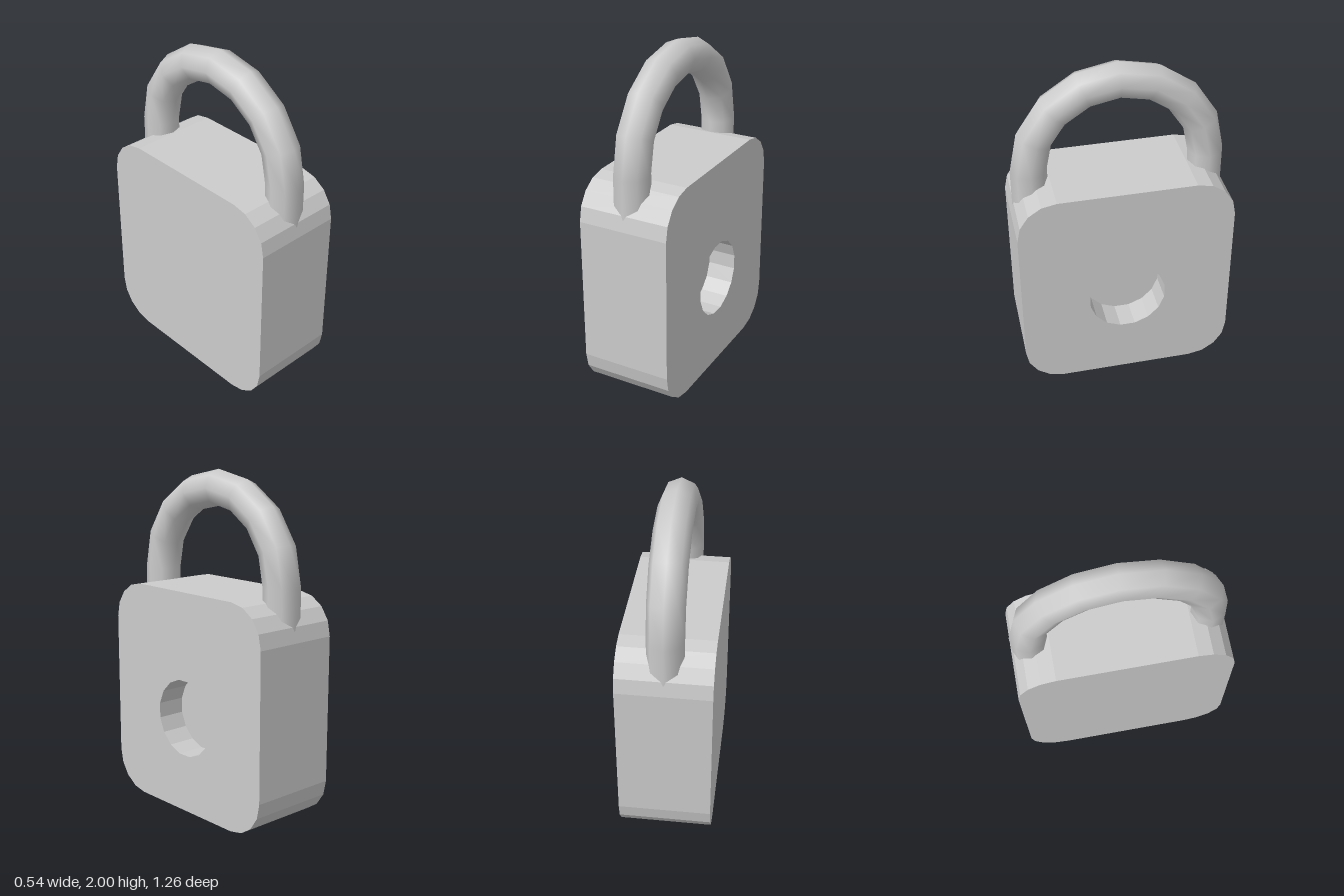
import * as THREE from 'three';
import { mergeGeometries } from 'three/addons/utils/BufferGeometryUtils.js';

const WIDTH = 1.26, HEIGHT = 1.32, HALF_DEPTH = 0.27, CORNER = 0.23;
const HOLE_Y = 0.573, HOLE_RADIUS = 0.23, HOLE_DEPTH = 0.17;
const ARC_Y = 1.383, ARC_RADIUS = 0.513, TUBE = 0.105, LEG_BOTTOM = 1.0;

// Rounded rectangle with four facets per corner
function plateShape() {
  const s = new THREE.Shape();
  const x = WIDTH / 2 - CORNER, top = HEIGHT - CORNER;
  const centres = [[x, top], [-x, top], [-x, CORNER], [x, CORNER]];
  const points = [];
  centres.forEach(([cx, cy], k) => {
    for (let i = 0; i <= 4; i++) {
      const a = (k + i / 4) * Math.PI / 2;
      points.push(new THREE.Vector2(cx + CORNER * Math.cos(a), cy + CORNER * Math.sin(a)));
    }
  });
  return s.setFromPoints(points);
}

// Sixteen-sided keyhole outline
function holePoints() {
  return Array.from({ length: 16 }, (_, i) => {
    const a = (i + 0.5) * Math.PI / 8;
    return new THREE.Vector2(HOLE_RADIUS * Math.cos(a), HOLE_Y + HOLE_RADIUS * Math.sin(a));
  });
}

// Faceted side walls of an extruded shape, between z0 and z1, without the caps
function walls(shape, z0, z1) {
  const ex = new THREE.ExtrudeGeometry(shape, { depth: z1 - z0, bevelEnabled: false });
  const start = ex.groups[1].start;
  const g = new THREE.BufferGeometry();
  for (const [name, size] of [['position', 3], ['normal', 3], ['uv', 2]]) {
    g.setAttribute(name, new THREE.BufferAttribute(ex.getAttribute(name).array.slice(start * size), size));
  }
  return g.translate(0, 0, z0);
}

// Turns a surface inside out
function flip(g) {
  const out = g.index ? g.toNonIndexed() : g;
  const p = out.getAttribute('position');
  const a = new THREE.Vector3(), b = new THREE.Vector3();
  for (let i = 0; i < p.count; i += 3) {
    a.fromBufferAttribute(p, i);
    b.fromBufferAttribute(p, i + 1);
    p.setXYZ(i, b.x, b.y, b.z);
    p.setXYZ(i + 1, a.x, a.y, a.z);
  }
  out.computeVertexNormals();
  return out;
}

const cap = (shape, z) => new THREE.ShapeGeometry(shape).toNonIndexed().translate(0, 0, z);

export function createModel() {
  const model = new THREE.Group();
  model.name = 'padlock';
  const material = new THREE.MeshStandardMaterial({ color: 0xcccccc });

  // Body: outer walls, plain back, pierced front, and a blind round recess
  const plate = plateShape();
  const pierced = plateShape();
  pierced.holes.push(new THREE.Path().setFromPoints(holePoints()));
  const disc = new THREE.Shape(holePoints());
  const floor = HALF_DEPTH - HOLE_DEPTH;
  const bodyGeometry = mergeGeometries([
    walls(plate, -HALF_DEPTH, HALF_DEPTH),
    flip(cap(plate, -HALF_DEPTH)),
    cap(pierced, HALF_DEPTH),
    flip(walls(disc, floor, HALF_DEPTH)),
    cap(disc, floor),
  ]);
  bodyGeometry.rotateY(Math.PI / 2); // the recess opens towards +x
  const body = new THREE.Mesh(bodyGeometry, material);
  body.name = 'body';
  model.add(body);

  // Shackle: half ring on two straight legs that sink into the body
  const legLength = ARC_Y - LEG_BOTTOM;
  const shackleParts = [
    new THREE.TorusGeometry(ARC_RADIUS, TUBE, 8, 8, Math.PI)
      .rotateY(Math.PI / 2).translate(0, ARC_Y, 0),
  ];
  for (const side of [-1, 1]) {
    shackleParts.push(new THREE.CylinderGeometry(TUBE, TUBE, legLength, 8, 1, true)
      .translate(0, LEG_BOTTOM + legLength / 2, side * ARC_RADIUS));
  }
  const shackle = new THREE.Mesh(mergeGeometries(shackleParts), material);
  shackle.name = 'shackle';
  model.add(shackle);

  return model;
}
